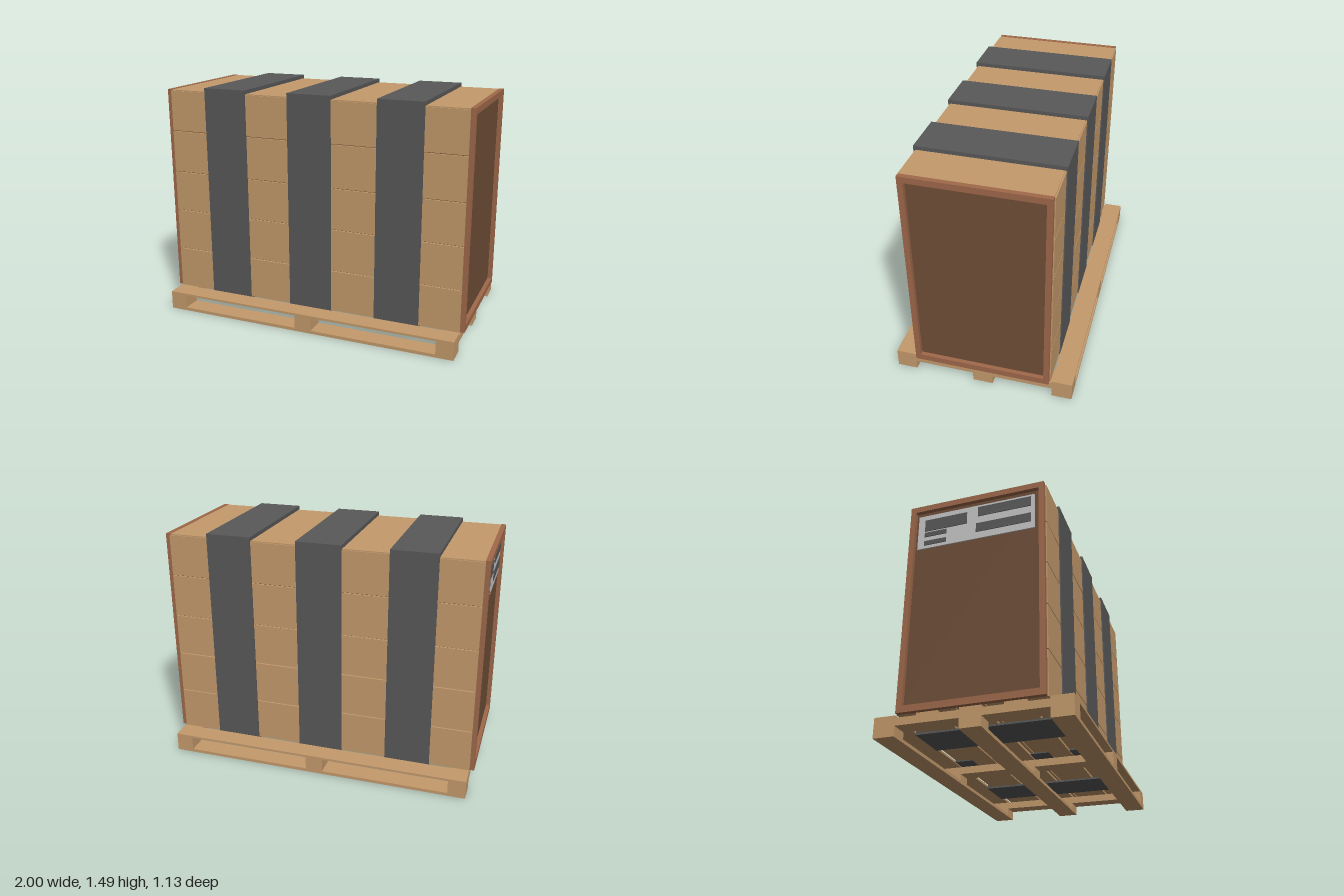
import * as THREE from 'three';

const mat = (name, color) => {
  const m = new THREE.MeshStandardMaterial({ color });
  m.name = name;
  return m;
};

export function createModel() {
  const wood = mat('light wood', 0xc49a6c);
  const trim = mat('reddish wood', 0xa0694b);
  const dark = mat('dark brown', 0x6f4e37);
  const strapGrey = mat('strap grey', 0x595959);
  const paper = mat('label grey', 0xc8c8c8);

  const model = new THREE.Group();
  model.name = 'strappedCrate';
  const addGroup = (name) => {
    const g = new THREE.Group();
    g.name = name;
    model.add(g);
    return g;
  };
  // Box given by its minimum and maximum on each axis
  const box = (parent, name, material, x0, x1, y0, y1, z0, z1) => {
    const mesh = new THREE.Mesh(new THREE.BoxGeometry(x1 - x0, y1 - y0, z1 - z0), material);
    mesh.position.set((x0 + x1) / 2, (y0 + y1) / 2, (z0 + z1) / 2);
    mesh.name = name;
    parent.add(mesh);
  };

  // Pallet: runners, blocks, cross boards and deck boards
  const pallet = addGroup('pallet');
  for (const z of [-0.5, 0, 0.5]) {
    box(pallet, 'runner', wood, -0.972, 0.972, 0, 0.02, z - 0.063, z + 0.063);
    for (const x of [-0.917, 0, 0.917])
      box(pallet, 'block', wood, x - 0.055, x + 0.055, 0.02, 0.106, z - 0.063, z + 0.063);
  }
  for (const x of [-0.917, 0, 0.917])
    box(pallet, 'crossBoard', wood, x - 0.055, x + 0.055, 0.06, 0.106, -0.437, 0.437);
  for (const z of [-0.5, -0.25, 0, 0.25, 0.5])
    box(pallet, 'deckBoard', wood, -0.972, 0.972, 0.106, 0.12, z - 0.063, z + 0.063);

  // Crate: dark core seen through the gaps, clad with boards
  const crate = addGroup('crate');
  box(crate, 'core', dark, -0.974, 0.974, 0.128, 1.455, -0.418, 0.418);
  const joints = [0.12, 0.39, 0.662, 0.927, 1.2, 1.463];
  for (let i = 0; i < 5; i++) {
    const y0 = joints[i] + (i ? 0.003 : 0), y1 = joints[i + 1] - 0.003;
    box(crate, 'frontPlank', wood, -0.972, 0.972, y0, y1, 0.41, 0.43);
    box(crate, 'backPlank', wood, -0.972, 0.972, y0, y1, -0.43, -0.41);
    const z = -0.42 + i * 0.168;
    box(crate, 'floorPlank', wood, -0.972, 0.972, 0.12, 0.135, z + 0.003, z + 0.165);
  }
  box(crate, 'lid', wood, -0.972, 0.972, 1.445, 1.466, -0.422, 0.422);

  // End frames around the recessed dark panels
  const rect = (path, w, y0, y1) =>
    path.moveTo(-w, y0).lineTo(w, y0).lineTo(w, y1).lineTo(-w, y1).closePath();
  const outline = new THREE.Shape();
  const opening = new THREE.Path();
  rect(outline, 0.423, 0.12, 1.468);
  rect(opening, 0.39, 0.16, 1.43);
  outline.holes.push(opening);
  const frameGeo = new THREE.ExtrudeGeometry(outline, { depth: 0.03, bevelEnabled: false });
  for (const side of [-1, 1]) {
    const frame = new THREE.Mesh(frameGeo, trim);
    frame.name = side > 0 ? 'leftEndFrame' : 'rightEndFrame';
    frame.rotation.y = side * Math.PI / 2;
    frame.position.x = side * 0.97;
    crate.add(frame);
  }

  // Three broad straps around the crate
  const straps = addGroup('straps');
  for (const [x, y0, y1] of [[-0.575, 0.095, 0.107], [-0.002, 0.112, 0.12], [0.573, 0.095, 0.107]]) {
    const a = x - 0.143, b = x + 0.143;
    box(straps, 'strapTop', strapGrey, a, b, 1.464, 1.49, -0.437, 0.437);
    box(straps, 'strapBottom', strapGrey, a, b, y0, y1, -0.437, 0.437);
    for (const z of [-0.433, 0.433])
      box(straps, 'strapSide', strapGrey, a, b, y0, 1.464, z - 0.004, z + 0.004);
  }

  // Label plate with plain marks on the right end
  const label = addGroup('label');
  box(label, 'labelPlate', paper, -0.981, -0.973, 1.17, 1.405, -0.375, 0.36);
  const marks = [
    [-0.33, -0.06, 1.29, 1.37], [-0.33, -0.19, 1.25, 1.28], [-0.33, -0.19, 1.19, 1.22],
    [0.01, 0.34, 1.325, 1.39], [0, 0.34, 1.215, 1.275],
  ];
  for (const [z0, z1, y0, y1] of marks)
    box(label, 'labelMark', strapGrey, -0.985, -0.98, y0, y1, z0, z1);

  return model;
}
